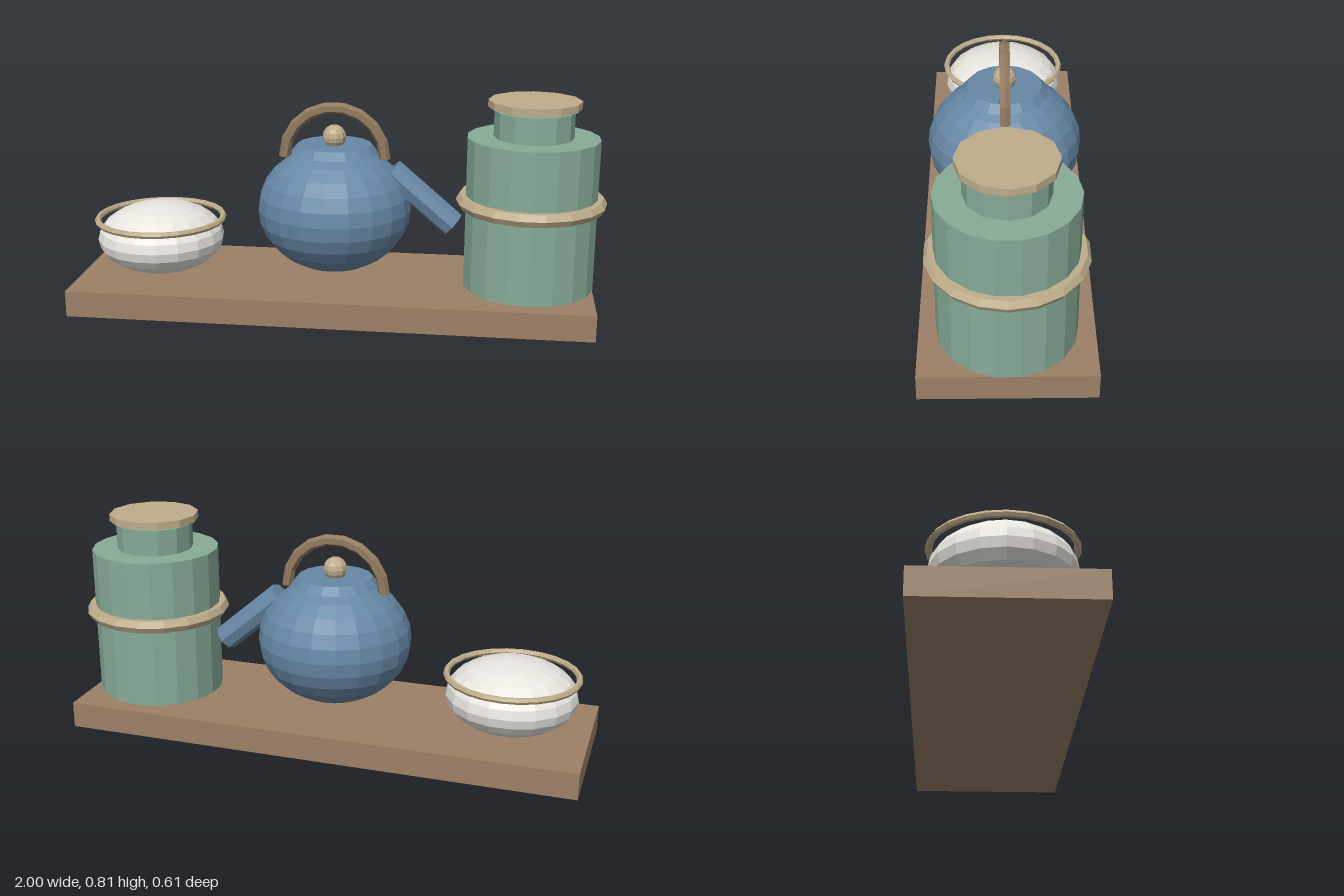
import * as THREE from 'three';

const paint = (color) => new THREE.MeshStandardMaterial({ color, flatShading: true });

export function createModel() {
  const model = new THREE.Group();
  const wood = paint(0x9c8066), blue = paint(0x6788a6), green = paint(0x87ab97);
  const tan = paint(0xbfae8c), cane = paint(0x927a5e), white = paint(0xe9e6e0);

  const add = (parent, name, geometry, material, x, y, z = 0) => {
    const mesh = new THREE.Mesh(geometry, material);
    mesh.name = name;
    mesh.position.set(x, y, z);
    parent.add(mesh);
    return mesh;
  };
  const group = (name, x) => {
    const g = new THREE.Group();
    g.name = name;
    g.position.x = x;
    model.add(g);
    return g;
  };
  // horizontal ring, lying flat
  const ring = (radius, tube, sides, segments) =>
    new THREE.TorusGeometry(radius, tube, sides, segments).rotateX(Math.PI / 2);
  // sphere squashed in height
  const squashed = (radius, halfHeight, w, h) =>
    new THREE.SphereGeometry(radius, w, h).scale(1, halfHeight / radius, 1);

  // serving board
  add(model, 'board', new THREE.BoxGeometry(1.96, 0.1, 0.61), wood, -0.02, 0.05);

  // covered bowl with its rim
  const bowl = group('bowl', -0.705);
  add(bowl, 'bowlBody', squashed(0.245, 0.134, 18, 12), white, 0, 0.235);
  add(bowl, 'bowlRim', ring(0.243, 0.012, 6, 24), tan, 0, 0.311);

  // kettle: body, lid, knob, arched handle and slanted spout
  const kettle = group('kettle', -0.02);
  add(kettle, 'kettleBody', squashed(0.292, 0.243, 20, 14), blue, 0, 0.379);
  add(kettle, 'kettleLid', new THREE.CylinderGeometry(0.14, 0.165, 0.03, 16), blue, 0, 0.611);
  add(kettle, 'lidKnob', new THREE.SphereGeometry(0.045, 10, 8), tan, 0, 0.655);
  add(kettle, 'handle', new THREE.TorusGeometry(0.191, 0.022, 6, 9, Math.PI), cane, 0, 0.574);
  const spout = add(kettle, 'spout', new THREE.CylinderGeometry(0.05, 0.05, 0.31, 8), blue, 0.334, 0.428);
  spout.rotation.z = 0.86;

  // canister: body, band, neck and floating lid
  const canister = group('canister', 0.72);
  add(canister, 'canisterBody', new THREE.CylinderGeometry(0.245, 0.245, 0.575, 18), green, 0, 0.3875);
  add(canister, 'canisterBand', ring(0.253, 0.027, 6, 18), tan, 0, 0.43);
  add(canister, 'canisterNeck', new THREE.CylinderGeometry(0.147, 0.147, 0.1, 12), green, 0, 0.724);
  add(canister, 'canisterLid', new THREE.CylinderGeometry(0.171, 0.171, 0.027, 12), tan, 0, 0.799);

  return model;
}
